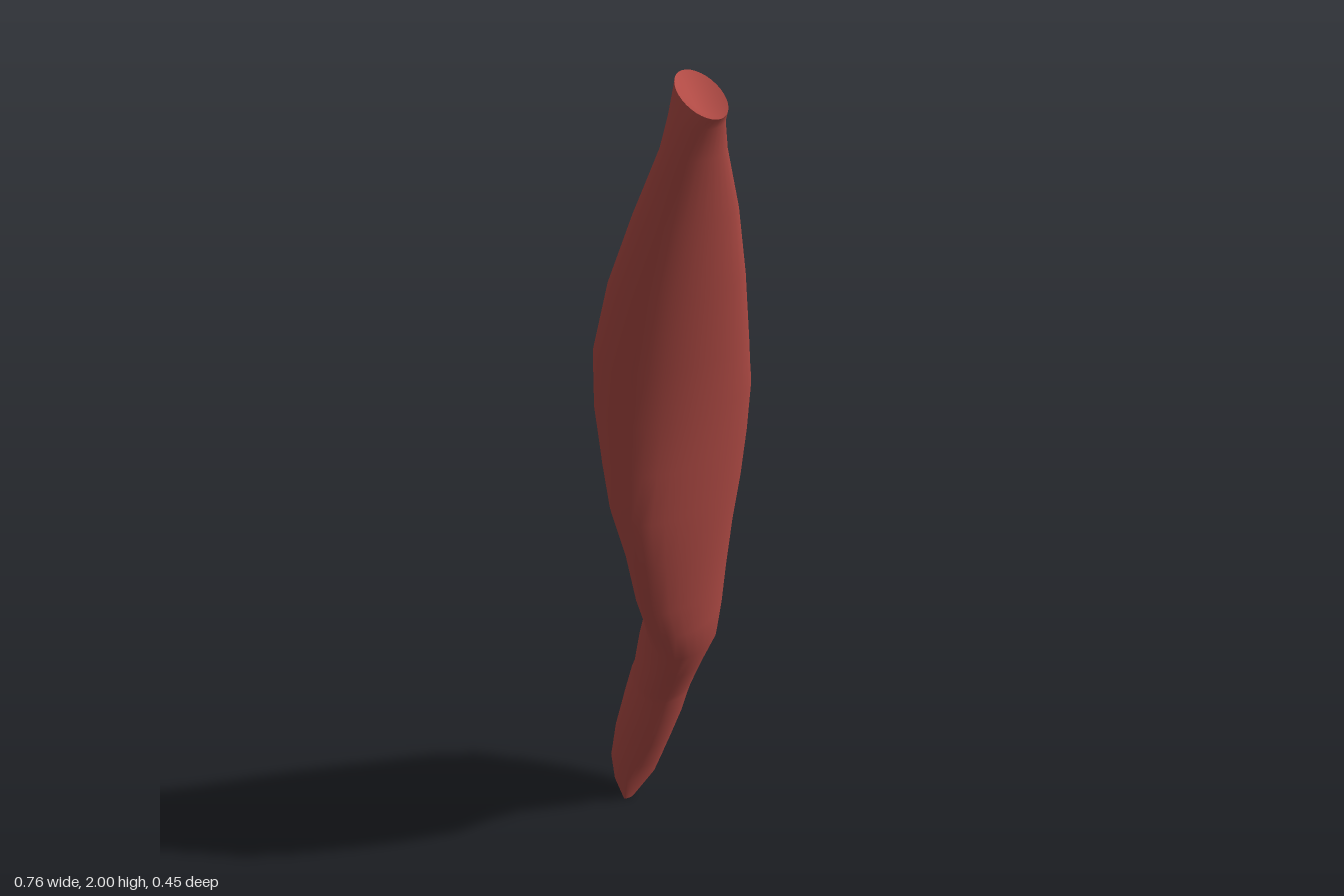
import * as THREE from 'three';

// Cross-sections up the muscle: y, xMin, xMax, zMin, zMax, diagonal skew of the oval
const SECTIONS = [
  [0.00, -0.367, -0.358, -0.170, -0.145, 0],
  [0.07, -0.377, -0.328, -0.212, -0.122, -0.25],
  [0.13, -0.388, -0.298, -0.216, -0.114, -0.2],
  [0.22, -0.376, -0.250, -0.218, -0.105, 0.05],
  [0.32, -0.352, -0.205, -0.218, -0.098, 0.25],
  [0.40, -0.332, -0.172, -0.216, -0.090, 0.45],
  [0.42, -0.323, -0.162, -0.215, -0.087, 0.5],
  [0.52, -0.302, -0.105, -0.211, -0.065, 0.68],
  [0.62, -0.264, -0.042, -0.204, -0.033, 0.8],
  [0.71, -0.226, -0.008, -0.194, 0.009, 0.84],
  [0.80, -0.187, 0.022, -0.180, 0.050, 0.82],
  [0.95, -0.127, 0.074, -0.152, 0.103, 0.7],
  [1.08, -0.078, 0.116, -0.133, 0.150, 0.46],
  [1.20, -0.034, 0.150, -0.114, 0.174, 0.16],
  [1.32, 0.007, 0.182, -0.085, 0.194, -0.14],
  [1.44, 0.046, 0.212, -0.042, 0.209, -0.34],
  [1.60, 0.120, 0.260, 0.012, 0.221, -0.4],
  [1.75, 0.195, 0.303, 0.066, 0.219, -0.4],
  [1.88, 0.262, 0.343, 0.121, 0.216, -0.25],
  [1.94, 0.278, 0.366, 0.140, 0.214, -0.1],
  [1.98, 0.286, 0.380, 0.144, 0.211, 0],
];
const SIDES = 32;

function sectionPoint([y, x0, x1, z0, z1, skew], i) {
  const t = (i % SIDES) / SIDES * Math.PI * 2;
  // fold pressed into the outer side of the lower tendon
  const fade = Math.max(0, 1 - y / 0.32);
  const fold = 1 - 0.5 * fade * Math.exp(-(((t - Math.PI) / 0.3) ** 2));
  // the flattened oval stays fuller on one of its broad sides
  const side = skew > 0 ? -1 : 1;
  const full = 0.35 * Math.abs(skew) * Math.max(0, Math.cos(t - side * Math.PI / 4)) ** 2;
  // the upper rim slopes down towards +x
  const rim = y > 1.97 ? -0.02 * Math.cos(t) : 0;
  return [
    (x0 + x1) / 2 + (x1 - x0) / 2 * (Math.cos(t - skew / 2) * fold + full),
    y + rim,
    (z0 + z1) / 2 + (z1 - z0) / 2 * (Math.sin(t + skew / 2) + side * full),
  ];
}

function makeMesh(name, positions, indices, material) {
  const geometry = new THREE.BufferGeometry();
  geometry.setAttribute('position', new THREE.Float32BufferAttribute(positions, 3));
  geometry.setIndex(indices);
  geometry.computeVertexNormals();
  const mesh = new THREE.Mesh(geometry, material);
  mesh.name = name;
  return mesh;
}

// Closes an end with a fan around a centre point
function makeCap(name, section, centre, up, material) {
  const positions = [...centre], indices = [];
  for (let i = 0; i < SIDES; i++) {
    positions.push(...sectionPoint(section, i));
    const a = 1 + i, b = 1 + (i + 1) % SIDES;
    indices.push(0, ...(up ? [b, a] : [a, b]));
  }
  return makeMesh(name, positions, indices, material);
}

export function createModel() {
  const group = new THREE.Group();
  group.name = 'muscle';
  const red = new THREE.MeshStandardMaterial({ color: 0xb14b45 });
  red.name = 'muscle red';

  // Belly and both tendons as one smooth skin
  const positions = [], indices = [];
  SECTIONS.forEach((section, r) => {
    for (let i = 0; i < SIDES; i++) {
      positions.push(...sectionPoint(section, i));
      if (r === SECTIONS.length - 1) continue;
      const a = r * SIDES + i, b = r * SIDES + (i + 1) % SIDES;
      indices.push(a, a + SIDES, b, b, a + SIDES, b + SIDES);
    }
  });
  group.add(makeMesh('muscleBelly', positions, indices, red));

  // Hollowed upper end and pointed lower end
  group.add(makeCap('upperEnd', SECTIONS[SECTIONS.length - 1], [0.33, 1.955, 0.18], true, red));
  group.add(makeCap('lowerEnd', SECTIONS[0], [-0.362, 0, -0.157], false, red));
  return group;
}
